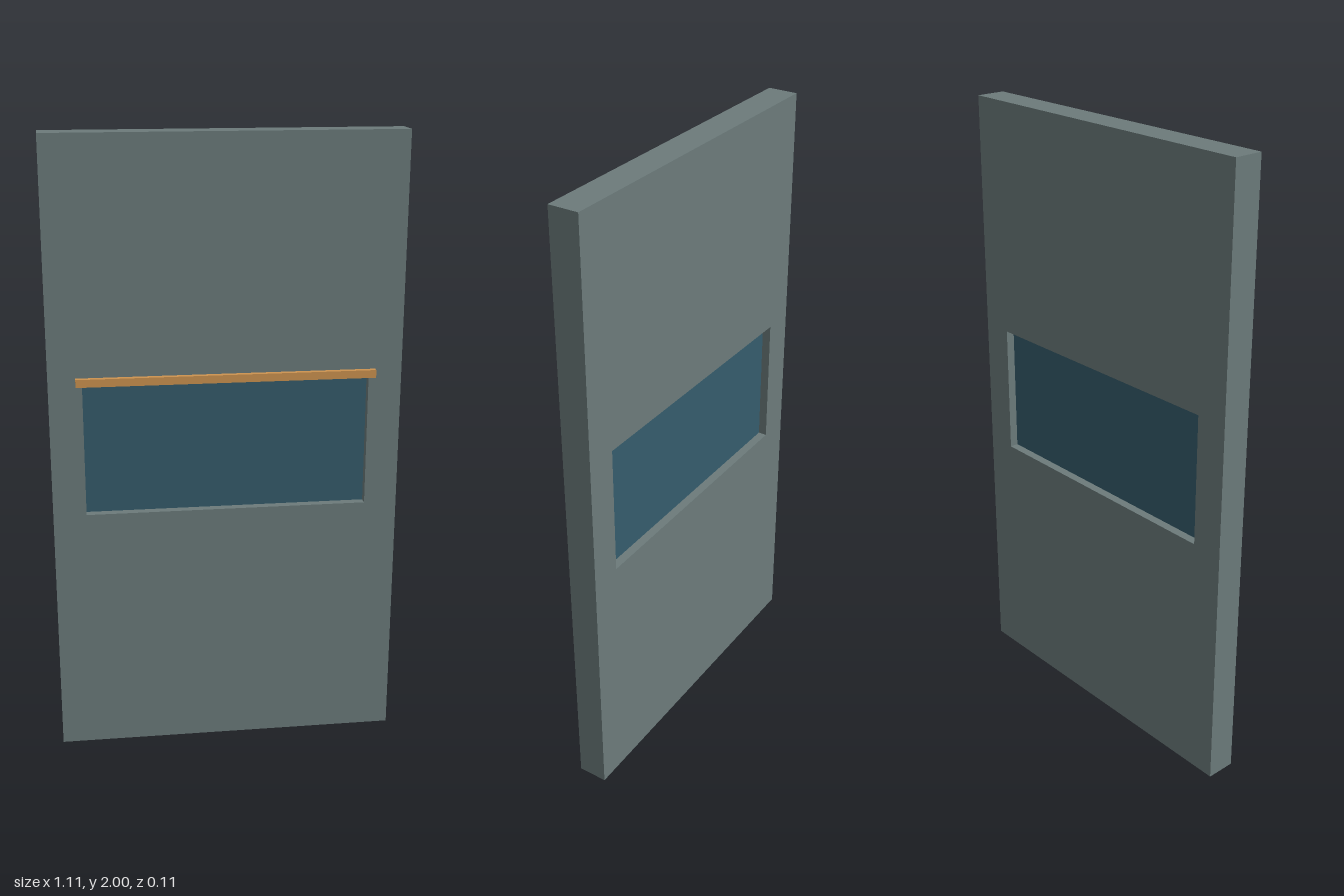
import * as THREE from 'three';

export function createModel() {
  const model = new THREE.Group();
  const mat = (name, color) => {
    const m = new THREE.MeshStandardMaterial({ color });
    m.name = name;
    return m;
  };
  const grey = mat('slate grey', 0x6c7b7b);
  const blue = mat('glass blue', 0x355c6c);
  const wood = mat('warm wood', 0xcd9350);

  const add = (name, geometry, material, x, y, z) => {
    const mesh = new THREE.Mesh(geometry, material);
    mesh.name = name;
    mesh.position.set(x, y, z);
    model.add(mesh);
  };

  const back = -0.057, front = 0.039;
  const halfW = 0.555, winW = 0.45, winBottom = 0.815, winTop = 1.24;

  // Wall panel with a rectangular window opening
  const outline = new THREE.Shape([
    new THREE.Vector2(-halfW, 0), new THREE.Vector2(halfW, 0),
    new THREE.Vector2(halfW, 2), new THREE.Vector2(-halfW, 2),
  ]);
  outline.holes.push(new THREE.Path([
    new THREE.Vector2(-winW, winBottom), new THREE.Vector2(-winW, winTop),
    new THREE.Vector2(winW, winTop), new THREE.Vector2(winW, winBottom),
  ]));
  add('wallPanel', new THREE.ExtrudeGeometry(outline, { depth: front - back, bevelEnabled: false }),
    grey, 0, 0, back);

  // Glass pane, recessed equally from both faces
  add('windowPane', new THREE.BoxGeometry(winW * 2, winTop - winBottom, 0.04),
    blue, 0, (winBottom + winTop) / 2, (front + back) / 2);

  // Trim rail above the window, on the front only
  add('trimRail', new THREE.BoxGeometry(0.94, 0.025, 0.018), wood, 0, 1.2525, front + 0.009);

  return model;
}
